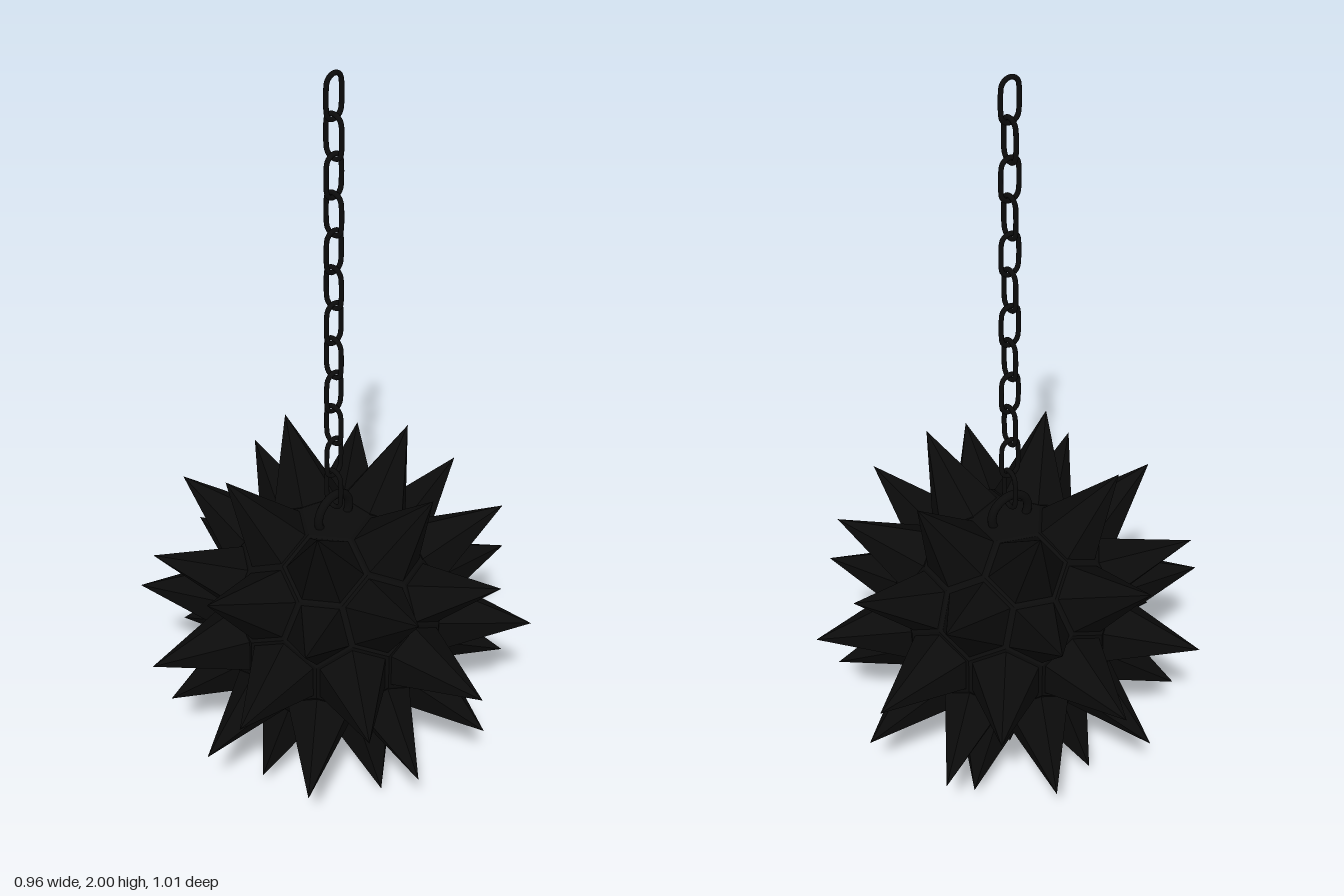
import * as THREE from 'three';

const TIP = 0.503;   // centre to spike tip
const CORE = 0.295;  // core radius
const INSET = 0.9;   // spike base relative to its cell

// 42 evenly spread directions, in rings about the vertical axis
function spikeDirections() {
  const dirs = [new THREE.Vector3(0, 1, 0), new THREE.Vector3(0, -1, 0)];
  const ring = (y, count, start) => {
    const r = Math.sqrt(1 - y * y);
    for (let i = 0; i < count; i++) {
      const a = start + (i / count) * Math.PI * 2;
      dirs.push(new THREE.Vector3(r * Math.cos(a), y, r * Math.sin(a)));
    }
  };
  const half = Math.PI / 5;
  ring(0.8507, 5, 0);
  ring(0.4472, 5, 0);
  ring(0.5257, 5, half);
  ring(0, 10, Math.PI / 10);
  ring(-0.5257, 5, 0);
  ring(-0.4472, 5, half);
  ring(-0.8507, 5, half);
  return dirs;
}

// Corners of the five- or six-sided cell around a direction, counter-clockwise from outside
function cellCorners(d, dirs) {
  const u = new THREE.Vector3(0.31, 0.52, 0.79).cross(d).normalize();
  const v = d.clone().cross(u);
  const near = dirs.filter(n => n !== d && n.dot(d) > Math.cos(0.68));
  near.sort((a, b) => Math.atan2(a.dot(v), a.dot(u)) - Math.atan2(b.dot(v), b.dot(u)));
  return near.map((n, i) =>
    d.clone().add(n).add(near[(i + 1) % near.length]).normalize().multiplyScalar(CORE));
}

// Triangles from each edge of a loop to an apex
function fan(corners, apex) {
  const pts = [];
  corners.forEach((c, i) => pts.push(c, corners[(i + 1) % corners.length], apex));
  return pts;
}

function facetedMesh(points, material, name) {
  const g = new THREE.BufferGeometry().setFromPoints(points);
  g.computeVertexNormals();
  const mesh = new THREE.Mesh(g, material);
  mesh.name = name;
  return mesh;
}

// Closed oval link standing in the xy plane
function linkGeometry(halfWidth, halfStraight, tube) {
  const pts = [];
  for (const side of [1, -1]) {
    for (let i = 0; i <= 6; i++) {
      const a = (i / 6) * Math.PI + (side > 0 ? 0 : Math.PI);
      pts.push(new THREE.Vector3(
        halfWidth * Math.cos(a), halfWidth * Math.sin(a) + side * halfStraight, 0));
    }
  }
  return new THREE.TubeGeometry(new THREE.CatmullRomCurve3(pts, true), 48, tube, 10, true);
}

export function createModel() {
  const model = new THREE.Group();
  model.name = 'spikedBallOnChain';
  const flat = new THREE.MeshStandardMaterial({ color: 0x0b0b0b, flatShading: true });
  const smooth = new THREE.MeshStandardMaterial({ color: 0x0b0b0b });

  // Faceted core with a pyramid spike on every cell but the top one
  const ball = new THREE.Group();
  ball.name = 'spikedBall';
  ball.position.y = TIP;
  const dirs = spikeDirections();
  const corePoints = [];
  dirs.forEach((d, i) => {
    const corners = cellCorners(d, dirs);
    const centre = corners.reduce((s, c) => s.add(c), new THREE.Vector3())
      .divideScalar(corners.length);
    corePoints.push(...fan(corners, centre));
    if (i === 0) return;
    const base = corners.map(c => centre.clone().lerp(c, INSET));
    ball.add(facetedMesh(fan(base, d.clone().multiplyScalar(TIP)), flat, 'spike'));
  });
  ball.add(facetedMesh(corePoints, flat, 'core'));
  model.add(ball);

  // Ring fixed in the top of the ball
  const ring = new THREE.Mesh(new THREE.TorusGeometry(0.053, 0.011, 10, 40), smooth);
  ring.name = 'mountingRing';
  ring.position.y = 0.803;
  model.add(ring);

  // Chain links, every second one turned a quarter
  const chain = new THREE.Group();
  chain.name = 'chain';
  const geometry = linkGeometry(0.023, 0.031, 0.006);
  for (let i = 0; i < 12; i++) {
    const link = new THREE.Mesh(geometry, smooth);
    link.name = 'chainLink';
    link.position.y = 1.94 - i * 0.0965;
    link.rotation.y = (i % 2) * Math.PI / 2;
    chain.add(link);
  }
  model.add(chain);
  return model;
}
